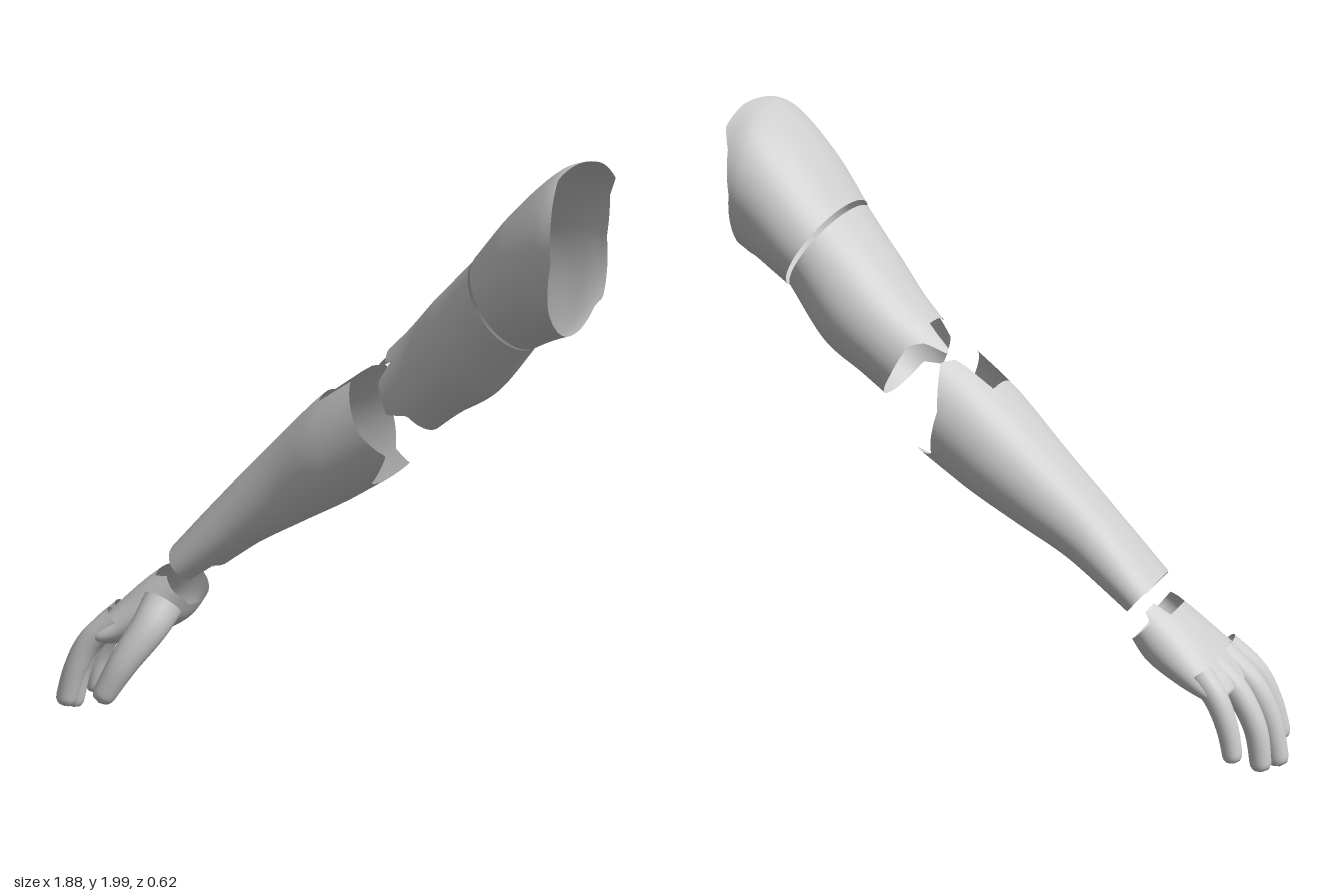
import * as THREE from 'three';
import { mergeVertices } from 'three/addons/utils/BufferGeometryUtils.js';

const skin = new THREE.MeshStandardMaterial({ color: 0xcccccc, side: THREE.DoubleSide });
skin.name = 'plainGrey';

// Piecewise-linear closed profile of [degrees, ring position]; 0 = upper side, 90 = front.
function trimAt(list, deg) {
  if (typeof list === 'number') return list;
  const n = list.length;
  for (let i = 0; i < n; i++) {
    const [a, va] = list[i];
    const [b0, vb] = list[(i + 1) % n];
    const b = i === n - 1 ? b0 + 360 : b0;
    const d = deg < a ? deg + 360 : deg;
    if (d >= a && d <= b) return va + (vb - va) * (d - a) / (b - a);
  }
  return list[0][1];
}

// Open shell through rings [topX, topY, bottomX, bottomY, zMin, zMax], with ragged ends.
function shell(name, rings, start, end) {
  const cols = 120, rows = 28, last = rings.length - 1;
  const centre = new THREE.CatmullRomCurve3(rings.map(([a, b, c, d, e, f]) =>
    new THREE.Vector3((a + c) / 2, (b + d) / 2, (e + f) / 2)));
  const half = new THREE.CatmullRomCurve3(rings.map(([a, b, c, d, e, f]) =>
    new THREE.Vector3((a - c) / 2, (b - d) / 2, (f - e) / 2)));
  const pos = [], index = [];
  for (let r = 0; r <= rows; r++) {
    for (let c = 0; c < cols; c++) {
      const deg = c * 360 / cols, t = deg * Math.PI / 180;
      const s = trimAt(start, deg), e = trimAt(end, deg);
      const k = THREE.MathUtils.clamp((s + (e - s) * r / rows) / last, 0, 1);
      const p = centre.getPoint(k), h = half.getPoint(k);
      pos.push(p.x + h.x * Math.cos(t), p.y + h.y * Math.cos(t), p.z + h.z * Math.sin(t));
      if (r < rows) {
        const a = r * cols + c, b = r * cols + (c + 1) % cols;
        index.push(a, a + cols, b, b, a + cols, b + cols);
      }
    }
  }
  // Keep outward winding for shells that run from the wrist end to the shoulder end
  if (rings[0][0] < rings[last][0]) index.reverse();
  const g = new THREE.BufferGeometry();
  g.setAttribute('position', new THREE.Float32BufferAttribute(pos, 3));
  g.setIndex(index);
  g.computeVertexNormals();
  const mesh = new THREE.Mesh(g, skin);
  mesh.name = name;
  return mesh;
}

// Tapered finger with a rounded tip
function finger(name, points, r0, r1) {
  const curve = new THREE.CatmullRomCurve3(points.map(p => new THREE.Vector3(...p)));
  const n = 32, sides = 20, len = curve.getLength();
  let g = new THREE.TubeGeometry(curve, n, 1, sides, false);
  const pos = g.attributes.position, v = new THREE.Vector3();
  for (let i = 0; i <= n; i++) {
    const u = i / n, p = curve.getPointAt(u);
    const toTip = Math.min(1, (1 - u) * len / r1);
    const radius = (r0 + (r1 - r0) * u) * Math.sqrt(Math.max(0, 1 - (1 - toTip) ** 2)) + 0.0005;
    for (let j = 0; j <= sides; j++) {
      const k = i * (sides + 1) + j;
      v.fromBufferAttribute(pos, k).sub(p).multiplyScalar(radius).add(p);
      pos.setXYZ(k, v.x, v.y, v.z);
    }
  }
  g.deleteAttribute('uv');
  g.deleteAttribute('normal');
  g = mergeVertices(g, 1e-5);
  g.computeVertexNormals();
  const mesh = new THREE.Mesh(g, skin);
  mesh.name = name;
  return mesh;
}

export function createModel() {
  const arm = new THREE.Group();
  arm.name = 'segmentedArm';

  // Shoulder cap, open at the torso
  arm.add(shell('shoulder', [
    [0.56, 1.69, 0.74, 1.41, -0.26, 0.19],
    [0.69, 1.84, 0.80, 1.44, -0.265, 0.24],
    [0.85, 1.975, 0.86, 1.465, -0.255, 0.285],
    [0.94, 2.0, 0.92, 1.48, -0.24, 0.315],
  ], 0, [[0, 2.55], [28, 2.2], [50, 2.4], [90, 2.75], [125, 2.4], [180, 2.3], [220, 2.4],
    [226, 2.7], [270, 2.35], [300, 2.6], [315, 3], [340, 2.85]]));

  // Upper arm, broken off at the elbow
  arm.add(shell('upperArm', [
    [0.55, 1.675, 0.73, 1.405, -0.255, 0.182],
    [0.42, 1.55, 0.60, 1.25, -0.28, 0.13],
    [0.30, 1.42, 0.46, 1.16, -0.27, 0.075],
    [0.15, 1.275, 0.32, 1.05, -0.235, 0.035],
  ], 0, [[0, 2.43], [42, 2.43], [48, 2.3], [60, 2.65], [100, 2.8], [118, 2.5], [180, 2.5],
    [260, 2.5], [305, 2.45], [322, 2.6], [334, 2.95], [342, 2.9], [347, 2.43]]));

  // Forearm, notched at elbow and wrist
  arm.add(shell('forearm', [
    [0.15, 1.30, 0.31, 0.98, -0.31, 0.07],
    [-0.02, 1.17, 0.09, 0.84, -0.305, 0.06],
    [-0.20, 0.99, -0.09, 0.74, -0.275, 0.03],
    [-0.38, 0.80, -0.25, 0.65, -0.24, 0.02],
    [-0.545, 0.62, -0.45, 0.505, -0.23, 0.025],
  ], [[0, 0.88], [28, 0.88], [33, 0.2], [90, 0.2], [130, 0.05], [160, 0.55], [180, 0.5],
    [200, 0.2], [235, 0.5], [285, 0.4], [325, 0.05], [341, 0.2], [345, 0.88]],
  [[0, 4], [142, 4], [147, 3.6], [213, 3.6], [218, 4]]));

  // Hand: palm shell and five fingers
  const hand = new THREE.Group();
  hand.name = 'hand';
  hand.add(shell('palm', [
    [-0.55, 0.565, -0.46, 0.43, -0.235, 0.02],
    [-0.65, 0.49, -0.52, 0.35, -0.245, 0.05],
    [-0.73, 0.415, -0.63, 0.29, -0.25, 0.075],
    [-0.79, 0.35, -0.71, 0.265, -0.248, 0.095],
    [-0.815, 0.31, -0.755, 0.265, -0.225, 0.07],
    [-0.788, 0.281, -0.786, 0.279, -0.08, -0.07],
  ], [[0, 0.5], [35, 0.5], [60, 0.05], [130, 0], [150, 0.15], [215, 0.15], [270, 0.25],
    [300, 0.3], [305, 0], [330, 0], [335, 0.5]], 5));
  const fingers = [
    ['indexFinger', [[-0.71, 0.365, 0.03], [-0.80, 0.28, 0.06], [-0.85, 0.18, 0.08], [-0.89, 0.045, 0.09]], 0.046, 0.034],
    ['middleFinger', [[-0.72, 0.37, -0.04], [-0.82, 0.28, -0.03], [-0.88, 0.17, -0.02], [-0.92, 0.003, -0.015]], 0.046, 0.033],
    ['ringFinger', [[-0.72, 0.365, -0.12], [-0.81, 0.28, -0.12], [-0.87, 0.17, -0.12], [-0.895, 0.025, -0.12]], 0.044, 0.033],
    ['littleFinger', [[-0.71, 0.36, -0.20], [-0.77, 0.29, -0.21], [-0.81, 0.20, -0.214], [-0.835, 0.085, -0.216]], 0.042, 0.03],
    ['thumb', [[-0.55, 0.43, 0], [-0.57, 0.36, 0.065], [-0.63, 0.25, 0.13], [-0.705, 0.11, 0.17]], 0.07, 0.036],
  ];
  for (const f of fingers) hand.add(finger(...f));
  arm.add(hand);
  return arm;
}
